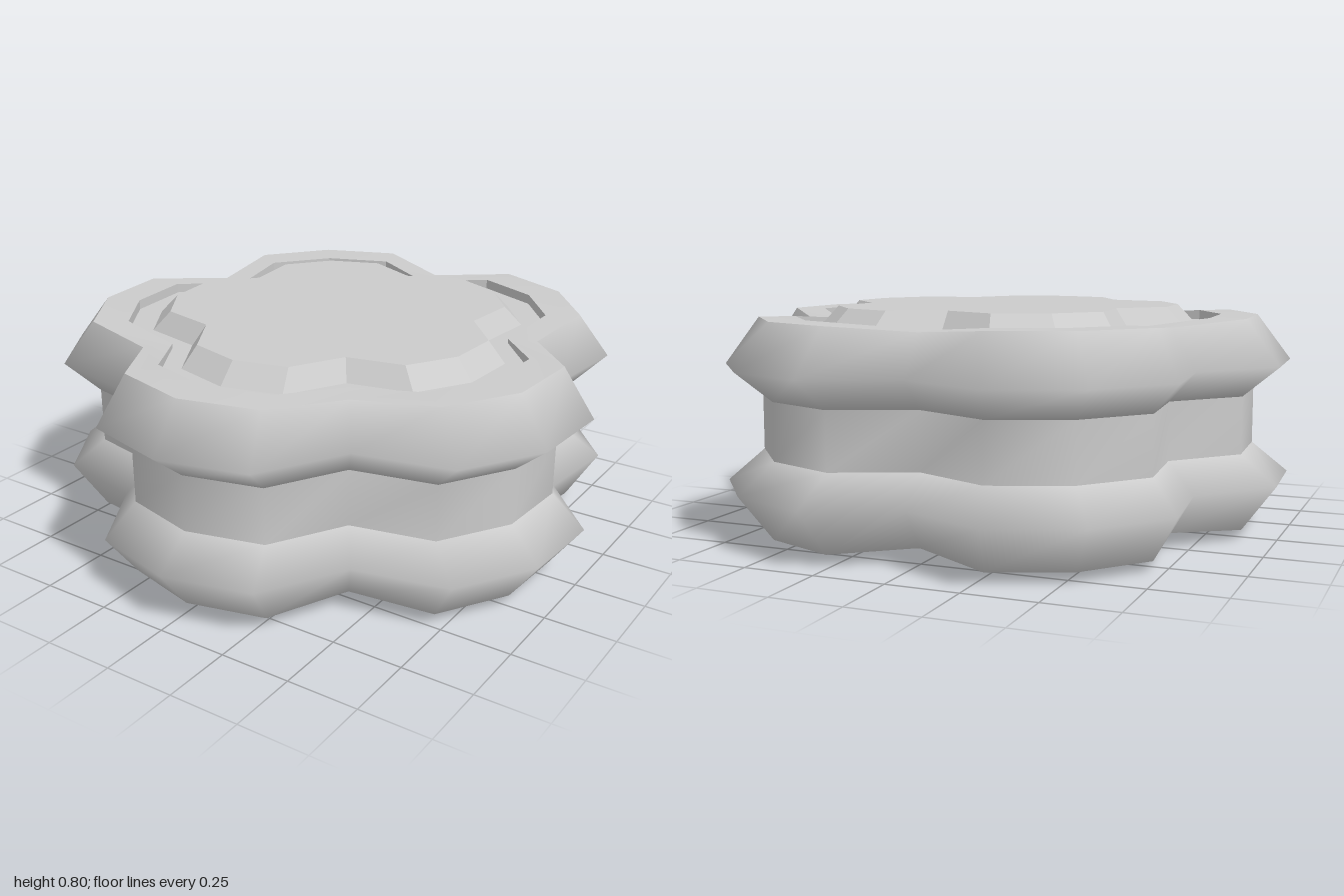
import * as THREE from 'three';

const LOBES = 5, SIDES = LOBES * 4, MID = 0.4;
// outline radius of the four points of one lobe: tip, shoulder, valley, shoulder
const OUTLINE = [1.03, 1.0, 0.815, 1.0];
const material = new THREE.MeshStandardMaterial({ color: 0xcccccc });

// Loft a strip through rings [scale, y, valleyDrop], listed so that the outside faces out
function band(name, rings, flat = false) {
  const pos = [], index = [];
  rings.forEach(([s, y, drop = 0]) => {
    for (let i = 0; i < SIDES; i++) {
      const a = (i / SIDES) * Math.PI * 2, r = OUTLINE[i % 4] * s;
      pos.push(r * Math.sin(a), y - (i % 4 === 2 ? drop : 0), r * Math.cos(a));
    }
  });
  for (let k = 0; k < rings.length - 1; k++) {
    for (let i = 0; i < SIDES; i++) {
      const a = k * SIDES + i, b = k * SIDES + (i + 1) % SIDES;
      index.push(a, b, b + SIDES, a, b + SIDES, a + SIDES);
    }
  }
  let geo = new THREE.BufferGeometry();
  geo.setAttribute('position', new THREE.Float32BufferAttribute(pos, 3));
  geo.setIndex(index);
  if (flat) geo = geo.toNonIndexed();
  geo.computeVertexNormals();
  const mesh = new THREE.Mesh(geo, material);
  mesh.name = name;
  return mesh;
}

// Half of the body: the upper one, or its mirror image below the middle
function half(top) {
  const group = new THREE.Group();
  group.name = top ? 'upperHalf' : 'lowerHalf';
  const parts = [
    ['bulge', [[0.875, 0.5], [1, 0.605], [0.883, 0.765, 0.02]]],
    ['rim', [[0.883, 0.765, 0.02], [0.757, 0.765, 0.02]]],
    ['grooveWall', [[0.757, 0.765, 0.02], [0.757, 0.73]], true],
    ['grooveFloor', [[0.757, 0.73], [0.67, 0.73]]],
    ['plateBevel', [[0.67, 0.73], [0.605, 0.8]], true],
    ['plate', [[0.605, 0.8], [0, 0.8]]],
  ];
  for (const [name, rings, flat] of parts) {
    const list = top ? rings : rings.map(([s, y, d = 0]) => [s, 2 * MID - y, -d]).reverse();
    group.add(band(name, list, flat));
  }
  return group;
}

export function createModel() {
  const model = new THREE.Group();
  model.name = 'lobedKnob';
  model.add(half(true), half(false), band('waist', [[0.875, 0.3], [0.875, 0.5]]));
  // centre the five-lobed outline front to back
  model.children.forEach((part) => { part.position.z = -0.04; });
  return model;
}
